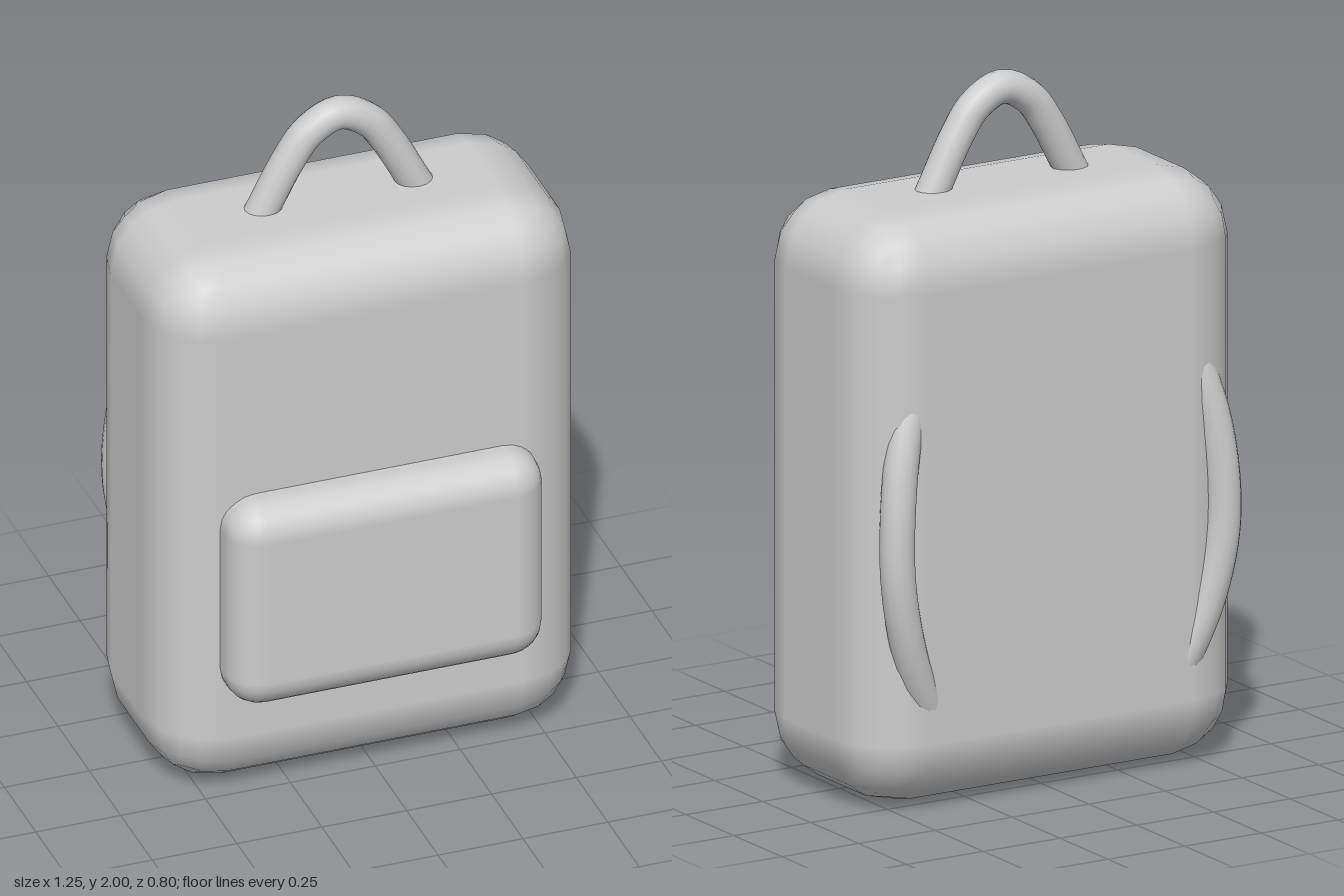
import * as THREE from 'three';
import { RoundedBoxGeometry } from 'three/addons/geometries/RoundedBoxGeometry.js';

export function createModel() {
  const model = new THREE.Group();
  model.name = 'backpack';
  const fabric = new THREE.MeshStandardMaterial({ color: 0xcccccc });
  fabric.name = 'grey fabric';

  const add = (name, geometry, x = 0, y = 0, z = 0) => {
    const mesh = new THREE.Mesh(geometry, fabric);
    mesh.name = name;
    mesh.position.set(x, y, z);
    model.add(mesh);
  };
  const tube = (points, radius) => new THREE.TubeGeometry(
    new THREE.CatmullRomCurve3(points.map(p => new THREE.Vector3(...p))), 40, radius, 16);

  // Main bag and the front pocket sunk into it
  add('body', new RoundedBoxGeometry(1.254, 1.692, 0.645, 2, 0.2), 0, 0.846, -0.0425);
  add('frontPocket', new RoundedBoxGeometry(0.93, 0.65, 0.24, 3, 0.1), 0, 0.655, 0.28);

  // Carrying loop on top
  add('topHandle', tube([
    [-0.26, 1.62, 0], [-0.222, 1.69, 0], [-0.147, 1.83, 0], [-0.088, 1.91, 0], [0, 1.952, 0],
    [0.088, 1.91, 0], [0.147, 1.83, 0], [0.222, 1.69, 0], [0.26, 1.62, 0],
  ], 0.048), 0, 0, -0.045);

  // Shoulder straps bulging from the back corners, ends buried in the body
  for (const [side, name] of [[1, 'leftStrap'], [-1, 'rightStrap']]) {
    add(name, tube([
      [0.44, 1.22, -0.28], [0.475, 1.13, -0.31], [0.517, 0.95, -0.34], [0.53, 0.7, -0.353],
      [0.485, 0.47, -0.34], [0.405, 0.28, -0.31], [0.35, 0.19, -0.28],
    ].map(([x, y, z]) => [side * x, y, z]), 0.05));
  }
  return model;
}
